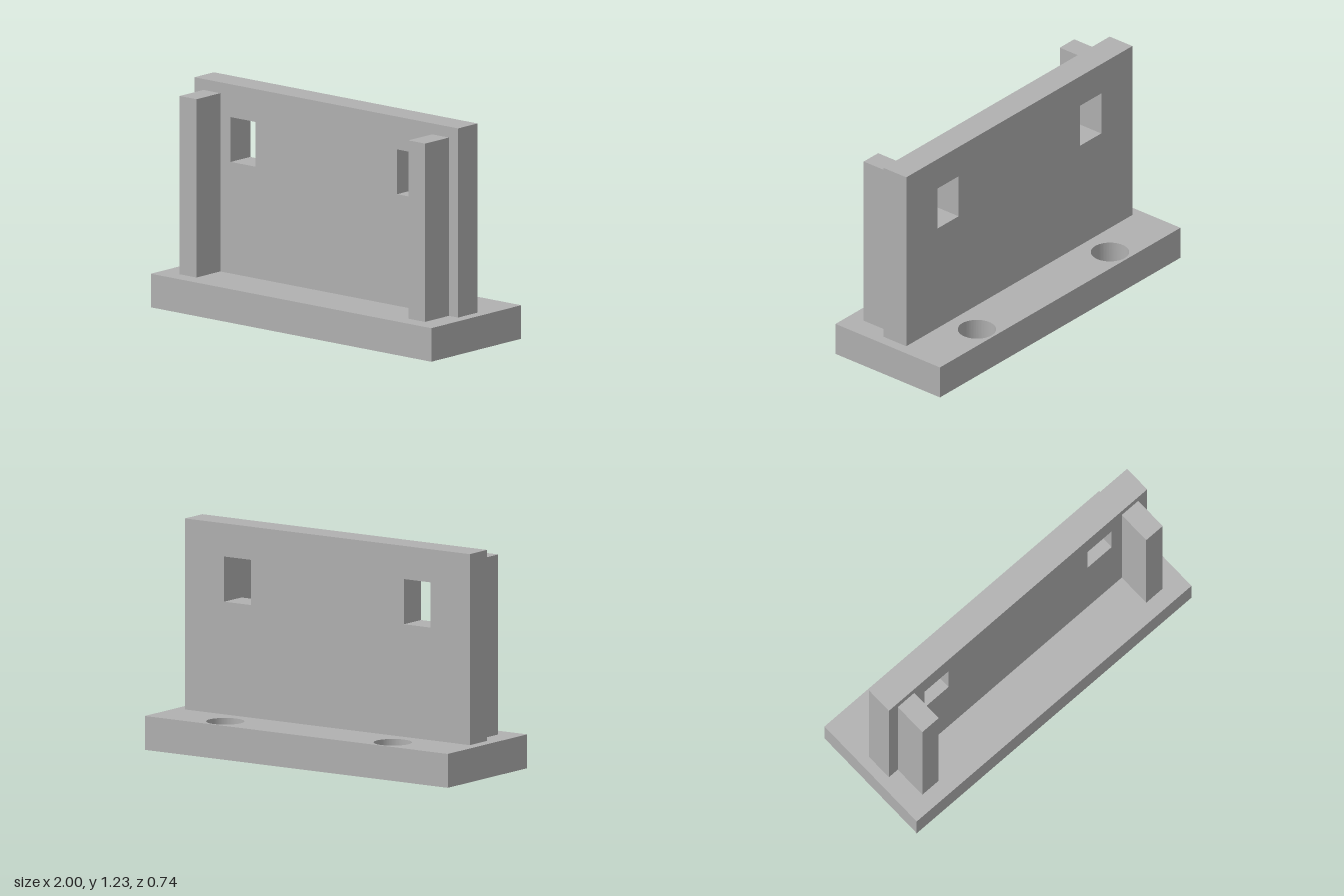
import * as THREE from 'three';
import { toCreasedNormals } from 'three/addons/utils/BufferGeometryUtils.js';

const grey = new THREE.MeshStandardMaterial({ color: 0xb0b0b0 });
grey.name = 'grey';

const BASE_H = 0.185;

// Closed rectangular outline
function rect(Type, x0, y0, x1, y1) {
  return new Type([[x0, y0], [x1, y0], [x1, y1], [x0, y1]].map(([x, y]) => new THREE.Vector2(x, y)));
}

function extrude(shape, depth) {
  const geometry = new THREE.ExtrudeGeometry(shape, { depth, bevelEnabled: false, curveSegments: 48 });
  return toCreasedNormals(geometry, Math.PI / 6);
}

function addPart(group, name, geometry) {
  const mesh = new THREE.Mesh(geometry, grey);
  mesh.name = name;
  group.add(mesh);
  return mesh;
}

export function createModel() {
  const model = new THREE.Group();
  model.name = 'mountingBracket';

  // Base plate with two round screw holes behind the wall
  const baseShape = rect(THREE.Shape, -1, -0.368, 1, 0.368);
  for (const side of [-1, 1]) {
    const hole = new THREE.Path();
    hole.absarc(side * 0.553, 0.25, 0.103, 0, Math.PI * 2, true);
    baseShape.holes.push(hole);
  }
  addPart(model, 'basePlate', extrude(baseShape, BASE_H).rotateX(-Math.PI / 2));

  // Upright wall with two rectangular windows
  const wallShape = rect(THREE.Shape, -0.94, BASE_H, 0.94, 1.228);
  for (const side of [-1, 1]) {
    wallShape.holes.push(rect(THREE.Path, side * 0.593 - 0.088, 0.8, side * 0.593 + 0.088, 1.047));
  }
  addPart(model, 'wall', extrude(wallShape, 0.16).translate(0, 0, -0.08));

  // Posts on the front of the wall
  for (const [name, side] of [['leftPost', 1], ['rightPost', -1]]) {
    const post = addPart(model, name, new THREE.BoxGeometry(0.12, 1.168 - BASE_H, 0.195));
    post.position.set(side * 0.815, (1.168 + BASE_H) / 2, 0.1775);
  }

  return model;
}
